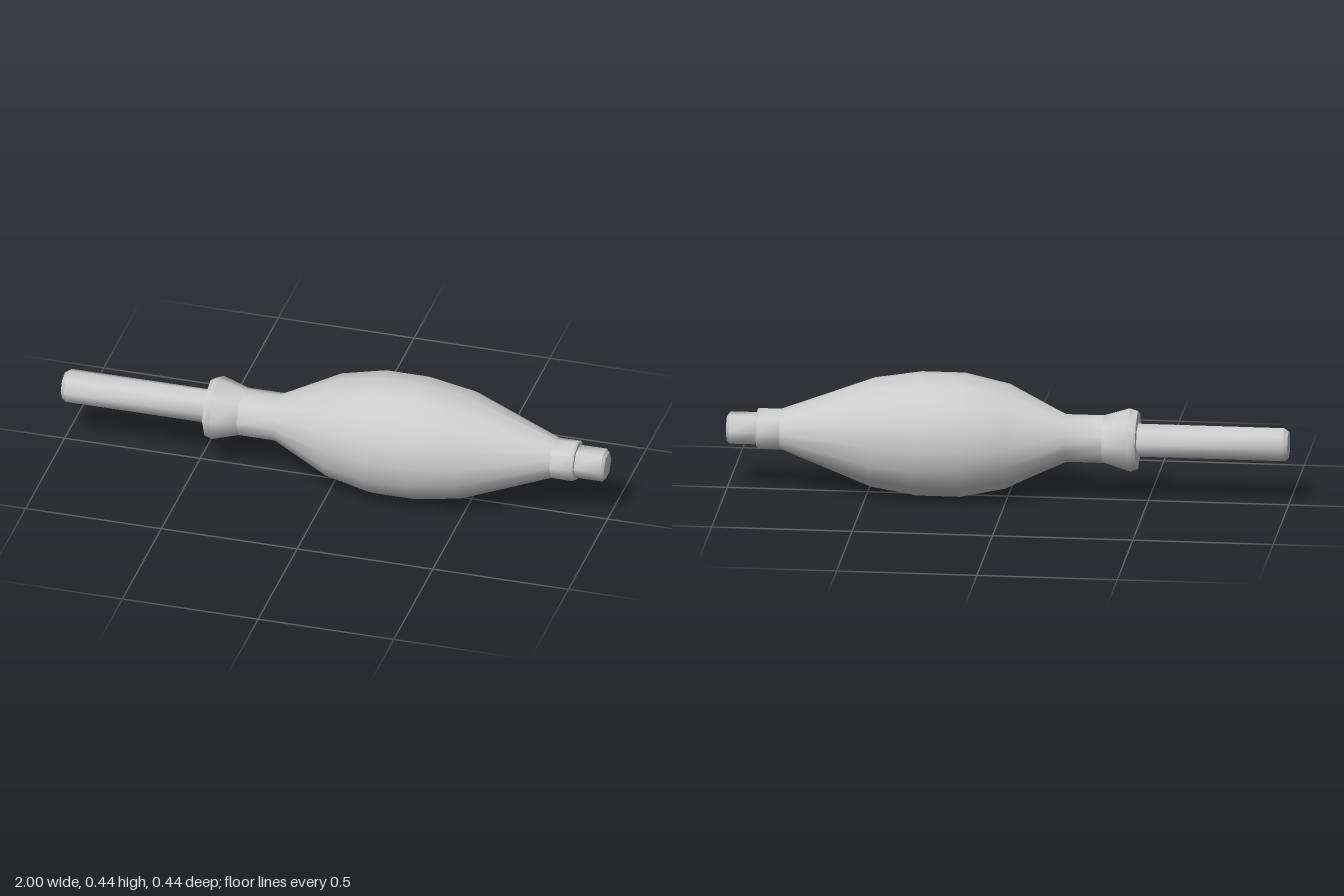
import * as THREE from 'three';

const AXIS_Y = 0.2215;
const material = new THREE.MeshStandardMaterial({ color: 0xcccccc });

// Smooth-shaded loft along x. Each ring is [x, radius, coarse]; a coarse ring
// keeps only every second corner, the ones between lie on the straight chord.
function loft(rings, sides, phase = 0) {
  const positions = [], index = [];
  rings.forEach(([x, r, coarse]) => {
    for (let j = 0; j < sides; j++) {
      const a = (j / sides) * Math.PI * 2 + phase;
      const k = coarse && j % 2 ? r * Math.cos((Math.PI * 2) / sides) : r;
      positions.push(x, k * Math.cos(a), k * Math.sin(a));
    }
  });
  for (let i = 0; i < rings.length - 1; i++) {
    for (let j = 0; j < sides; j++) {
      const n = (j + 1) % sides;
      const a = i * sides + j, b = i * sides + n, c = a + sides, d = b + sides;
      if (rings[i][1] > 0) index.push(a, b, c);
      if (rings[i + 1][1] > 0) index.push(b, d, c);
    }
  }
  const geometry = new THREE.BufferGeometry();
  geometry.setAttribute('position', new THREE.Float32BufferAttribute(positions, 3));
  geometry.setIndex(index);
  geometry.computeVertexNormals();
  return geometry;
}

// A part is a list of smooth sections; edges between sections stay sharp.
function part(name, sections, sides, phase) {
  const group = new THREE.Group();
  group.name = name;
  sections.forEach((rings, i) => {
    const mesh = new THREE.Mesh(loft(rings, sides, phase), material);
    mesh.name = `${name}Section${i + 1}`;
    group.add(mesh);
  });
  return group;
}

export function createModel() {
  const model = new THREE.Group();
  model.name = 'spindleBulb';

  // Rear rod with a small chamfer at its end
  model.add(part('rearRod', [
    [[-1, 0], [-1, 0.05]],
    [[-1, 0.05], [-0.985, 0.061]],
    [[-0.985, 0.061], [-0.45, 0.061]],
  ], 8));

  // Flared flange behind the neck
  model.add(part('flange', [
    [[-0.463, 0], [-0.463, 0.108]],
    [[-0.463, 0.108], [-0.435, 0.117]],
    [[-0.435, 0.117], [-0.342, 0.088]],
  ], 8));

  // Neck and swelling body: eight sides at the ends, sixteen in the middle
  model.add(part('body', [
    [
      [-0.342, 0.088, true], [-0.209, 0.088, true], [0, 0.187], [0.16, 0.2215],
      [0.315, 0.2215], [0.481, 0.195], [0.807, 0.075, true],
    ],
  ], 16));

  // Tip collar
  model.add(part('tipCollar', [
    [[0.807, 0.075], [0.887, 0.075]],
    [[0.887, 0.075], [0.892, 0.071]],
    [[0.892, 0.071], [0.892, 0]],
  ], 8));

  // Hexagonal tip with flats above and below
  model.add(part('hexTip', [
    [[0.87, 0.059], [0.99, 0.059]],
    [[0.99, 0.059], [1, 0.048]],
    [[1, 0.048], [1, 0]],
  ], 6, Math.PI / 6));

  model.children.forEach((child) => { child.position.y = AXIS_Y; });
  return model;
}
